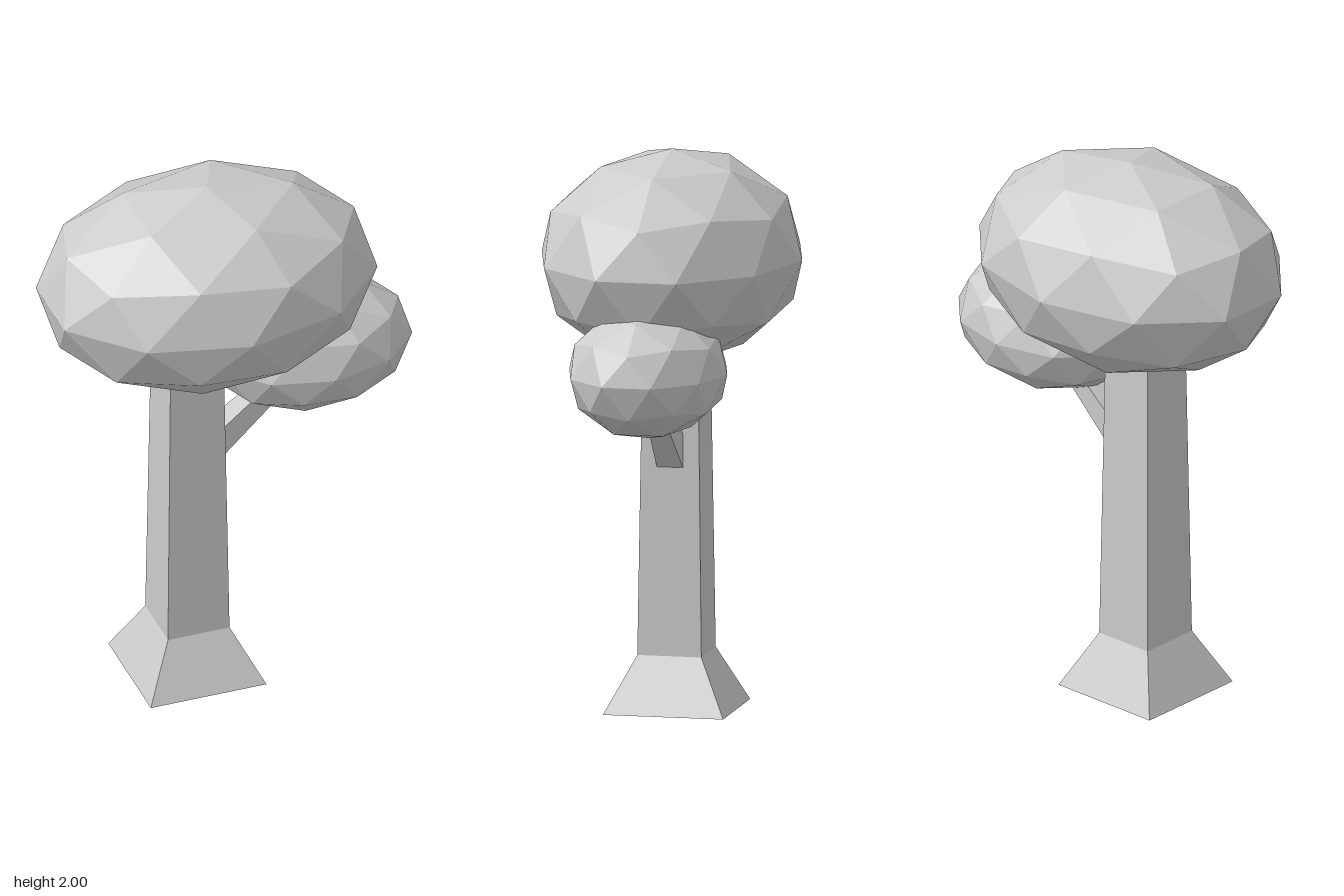
import * as THREE from 'three';

const material = new THREE.MeshStandardMaterial({ color: 0xcccccc, flatShading: true });

function part(name, geometry) {
  const flat = geometry.index ? geometry.toNonIndexed() : geometry;
  flat.computeVertexNormals();
  const mesh = new THREE.Mesh(flat, material);
  mesh.name = name;
  return mesh;
}

// Square tapered post given half widths at bottom and top
function post(name, x, y0, y1, half0, half1) {
  const g = new THREE.CylinderGeometry(half1 * Math.SQRT2, half0 * Math.SQRT2, y1 - y0, 4, 1, false, Math.PI / 4);
  g.translate(x, (y0 + y1) / 2, 0);
  return part(name, g);
}

// Faceted ball with a vertex at its pole, stretched to an ellipsoid
function foliage(name, center, radii) {
  const g = new THREE.IcosahedronGeometry(1, 1);
  g.rotateZ(-Math.atan(2 / (1 + Math.sqrt(5))));
  g.scale(...radii);
  g.translate(...center);
  return part(name, g);
}

// Tapered branch: a box whose two ends are moved to slanted, vertical end faces
function branch() {
  const start = { x: -0.06, bottom: 0.857, top: 0.978, half: 0.048 };
  const end = { x: 0.26, bottom: 1.145, top: 1.222, half: 0.03 };
  const g = new THREE.BoxGeometry(1, 1, 1);
  const p = g.attributes.position;
  for (let i = 0; i < p.count; i++) {
    const e = p.getX(i) < 0 ? start : end;
    p.setXYZ(i, e.x, p.getY(i) < 0 ? e.bottom : e.top, Math.sign(p.getZ(i)) * e.half);
  }
  return part('branch', g);
}

export function createModel() {
  const tree = new THREE.Group();
  tree.name = 'tree';
  tree.add(
    post('trunkFlare', -0.15, 0, 0.2, 0.216, 0.115),
    post('trunk', -0.15, 0.2, 1.42, 0.115, 0.098),
    branch(),
    foliage('mainFoliage', [-0.078, 1.62, 0], [0.615, 0.38, 0.468]),
    foliage('sideFoliage', [0.3, 1.27, 0], [0.376, 0.236, 0.284]),
  );
  return tree;
}
